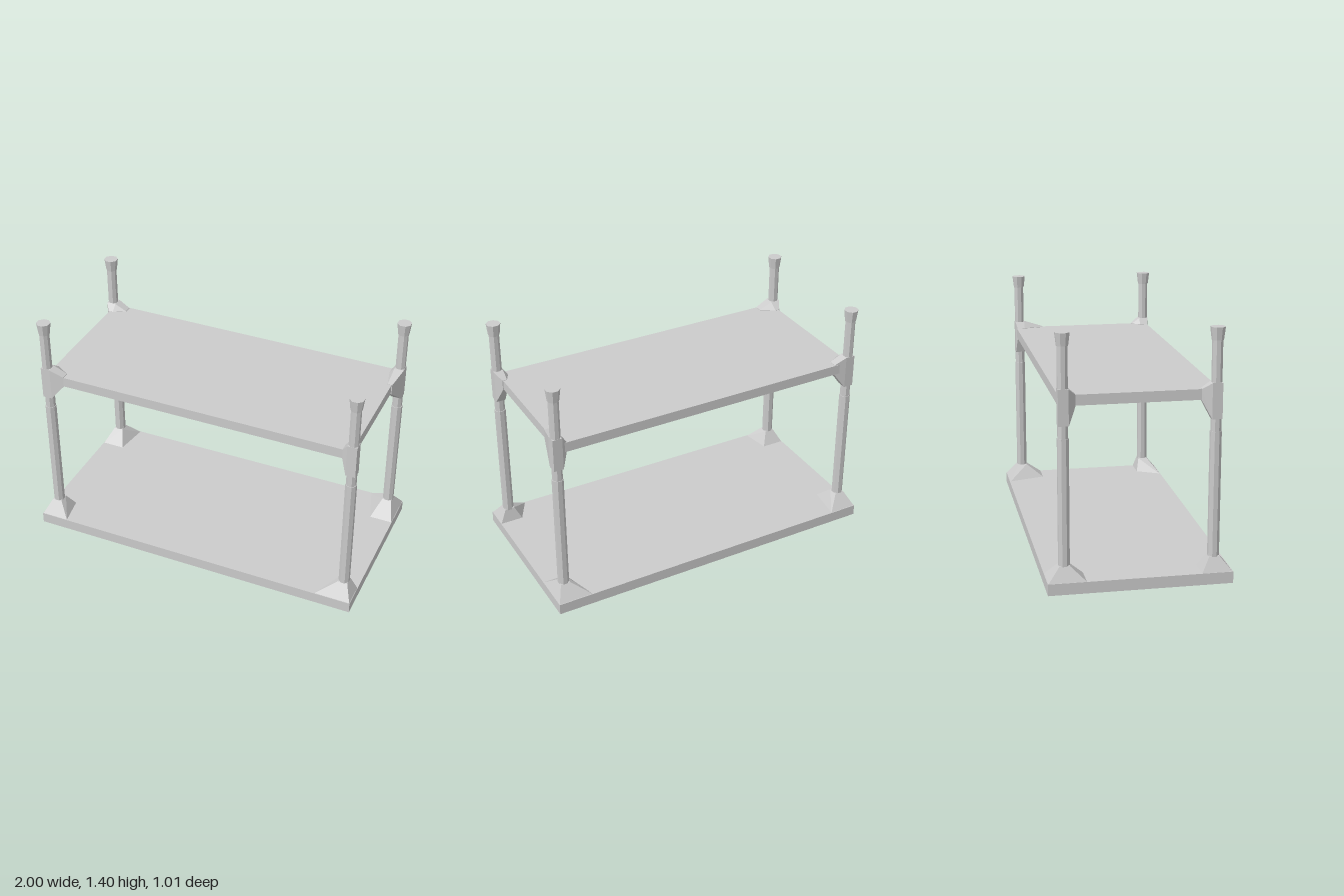
import * as THREE from 'three';
import { ConvexGeometry } from 'three/addons/geometries/ConvexGeometry.js';

const material = new THREE.MeshStandardMaterial({ color: 0xcccccc, flatShading: true });

function add(parent, name, geometry, x = 0, y = 0, z = 0) {
  const mesh = new THREE.Mesh(geometry, material);
  mesh.name = name;
  mesh.position.set(x, y, z);
  parent.add(mesh);
  return mesh;
}

// Box given by its minimum and maximum corners
function addBox(parent, name, [x0, y0, z0], [x1, y1, z1]) {
  return add(parent, name, new THREE.BoxGeometry(x1 - x0, y1 - y0, z1 - z0),
    (x0 + x1) / 2, (y0 + y1) / 2, (z0 + z1) / 2);
}

// Eight-sided column with its flats facing the axes; r is half the width across flats
function column(rTop, rBottom, height) {
  const k = 1 / Math.cos(Math.PI / 8);
  return new THREE.CylinderGeometry(rTop * k, rBottom * k, height, 8).rotateY(Math.PI / 8);
}

// Convex solid through lists of [x, z] outlines at given heights
function hull(sections) {
  const points = [];
  for (const [y, outline] of sections) {
    for (const [x, z] of outline) points.push(new THREE.Vector3(x, y, z));
  }
  return new ConvexGeometry(points);
}

export function createModel() {
  const model = new THREE.Group();
  model.name = 'twoTierShelf';

  // Bottom slab
  addBox(model, 'baseBoard', [-1, 0, -0.505], [1, 0.065, 0.505]);

  // Upper shelf: thin panel with a rim hanging below it
  const shelf = new THREE.Group();
  shelf.name = 'upperShelf';
  model.add(shelf);
  addBox(shelf, 'shelfPanel', [-0.925, 1.04, -0.43], [0.925, 1.068, 0.425]);
  addBox(shelf, 'frontRim', [-0.925, 1.01, 0.39], [0.925, 1.04, 0.425]);
  addBox(shelf, 'backRim', [-0.925, 1.01, -0.43], [0.925, 1.04, -0.395]);
  for (const s of [-1, 1]) {
    const a = s * 0.925, b = s * 0.89;
    addBox(shelf, s > 0 ? 'leftRim' : 'rightRim',
      [Math.min(a, b), 1.01, -0.395], [Math.max(a, b), 1.04, 0.39]);
  }

  // Inner reach of each foot and each joint, in x and z
  const corners = [
    { name: 'frontLeft', sx: 1, sz: 1, foot: [0.78, 0.36], joint: [0.875, 0.33] },
    { name: 'frontRight', sx: -1, sz: 1, foot: [0.83, 0.33], joint: [0.82, 0.33] },
    { name: 'backLeft', sx: 1, sz: -1, foot: [0.79, 0.27], joint: [0.875, 0.26] },
    { name: 'backRight', sx: -1, sz: -1, foot: [0.83, 0.29], joint: [0.83, 0.34] },
  ];

  for (const { name, sx, sz, foot, joint } of corners) {
    const post = new THREE.Group();
    post.name = name + 'Post';
    model.add(post);
    const px = 0.93, pz = 0.408, r = 0.028;
    const place = (list) => list.map(([x, z]) => [x * sx, z * sz]);
    const square = place([[px - r, pz - r], [px + r, pz - r], [px + r, pz + r], [px - r, pz + r]]);

    // Upright, slightly thicker in its lower part, with a flared cap
    add(post, 'lowerPost', column(0.03, 0.03, 0.78), px * sx, 0.45, pz * sz);
    add(post, 'upperPost', column(0.027, 0.027, 0.5), px * sx, 1.09, pz * sz);
    add(post, 'postCap', column(0.038, 0.03, 0.07), px * sx, 1.365, pz * sz);

    // Foot sloping out to the corner of the base
    const footOutline = place([[1, 0.505], [foot[0], 0.505], [0.86, foot[1]], [1, foot[1]]]);
    add(post, 'foot', hull([[0.06, footOutline], [0.145, square]]));

    // Joint spreading from the post into the shelf edges
    const [jx, jz] = joint;
    const jointOutline = place([
      [px + r, pz + r], [px - r, pz + r], [jx, pz + 0.017], [jx, pz - r],
      [px - r, jz], [px, jz], [px + r, pz - r],
    ]);
    add(post, 'shelfJoint', hull([
      [0.91, square], [1.008, jointOutline], [1.07, jointOutline], [1.105, square],
    ]));
  }
  return model;
}
